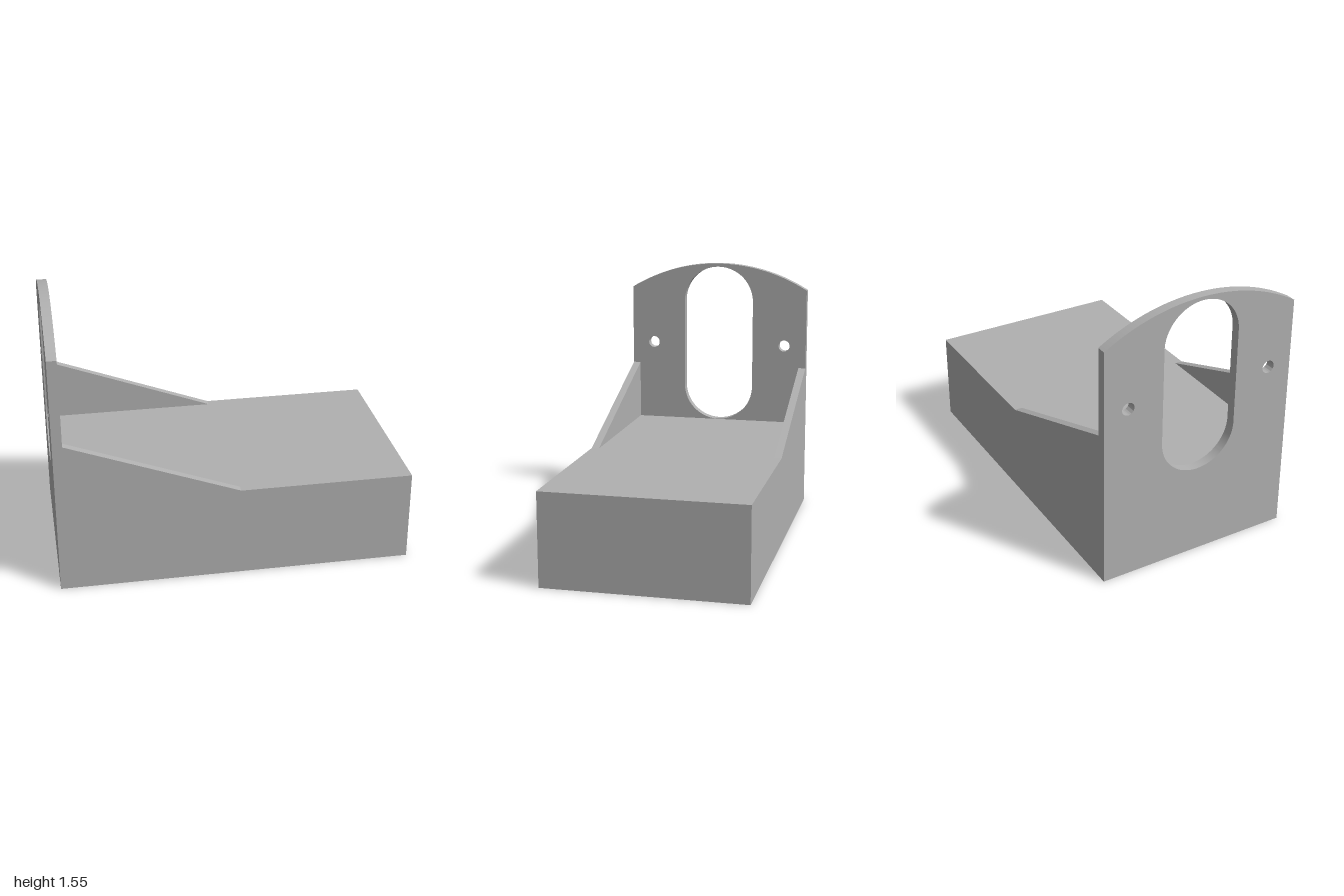
import * as THREE from 'three';
import { toCreasedNormals } from 'three/addons/utils/BufferGeometryUtils.js';

const W = 0.57;        // half depth of the housing
const TOP = 0.53;      // top of the box
const ROOF = 0.045;    // roof thickness
const END = 0.055;     // end wall and upright plate thickness
const SIDE = 0.045;    // side wall thickness
const POST = 0.11;     // corner post reach from the outer corner

const polygon = (pts) => new THREE.Shape(pts.map(([x, y]) => new THREE.Vector2(x, y)));

const circle = (x, y, r) => new THREE.Path().absarc(x, y, r, 0, Math.PI * 2, true);

function extrude(shape, depth) {
  const geo = new THREE.ExtrudeGeometry(shape, { depth, bevelEnabled: false, curveSegments: 32 });
  return toCreasedNormals(geo, 0.5);
}

export function createModel() {
  const group = new THREE.Group();
  const grey = new THREE.MeshStandardMaterial({ color: 0xb0b0b0 });
  grey.name = 'grey';

  const add = (name, geo, x = 0, y = 0, z = 0) => {
    const mesh = new THREE.Mesh(geo, grey);
    mesh.name = name;
    mesh.position.set(x, y, z);
    group.add(mesh);
  };

  // Walls with square corner posts, open underneath
  const walls = polygon([[-1, -W], [1, -W], [1, W], [-1, W]]);
  const ix = 1 - END, iz = W - SIDE, px = 1 - POST, pz = W - POST;
  walls.holes.push(polygon([
    [px, iz], [px, pz], [ix, pz], [ix, -pz], [px, -pz], [px, -iz],
    [-px, -iz], [-px, -pz], [-ix, -pz], [-ix, pz], [-px, pz], [-px, iz],
  ]));
  // Screw holes in the posts
  for (const sx of [-1, 1]) {
    for (const sz of [-1, 1]) {
      walls.holes.push(circle(sx * (1 - 0.055), sz * (W - 0.055), 0.036));
    }
  }
  add('boxWalls', extrude(walls, TOP - ROOF).rotateX(-Math.PI / 2));

  // Roof of the box
  add('roof', new THREE.BoxGeometry(2, ROOF, W * 2), 0, TOP - ROOF / 2, 0);

  // Upright plate with arched top, long slot and two bolt holes
  const shoulder = 1.39, crown = 1.55, rise = crown - shoulder;
  const radius = (W * W + rise * rise) / (2 * rise);
  const half = Math.asin(W / radius);
  const plate = new THREE.Shape();
  plate.moveTo(-W, TOP);
  plate.lineTo(W, TOP);
  plate.lineTo(W, shoulder);
  plate.absarc(0, crown - radius, radius, Math.PI / 2 - half, Math.PI / 2 + half, false);
  plate.closePath();

  const r = 0.224;
  const slot = new THREE.Path();
  slot.absarc(0, 1.53 - r, r, 0, Math.PI, false);
  slot.absarc(0, TOP + 0.002 + r, r, Math.PI, Math.PI * 2, false);
  slot.closePath();
  plate.holes.push(slot, circle(-0.43, 1.03, 0.036), circle(0.43, 1.03, 0.036));
  add('uprightPlate', extrude(plate, END).rotateY(Math.PI / 2), -1);

  // Sloping side gussets
  for (const [name, z] of [['frontGusset', W - SIDE], ['backGusset', -W]]) {
    const gusset = polygon([[-1 + END, TOP], [0.02, TOP], [-1 + END, 0.89]]);
    add(name, extrude(gusset, SIDE), 0, 0, z);
  }

  return group;
}
